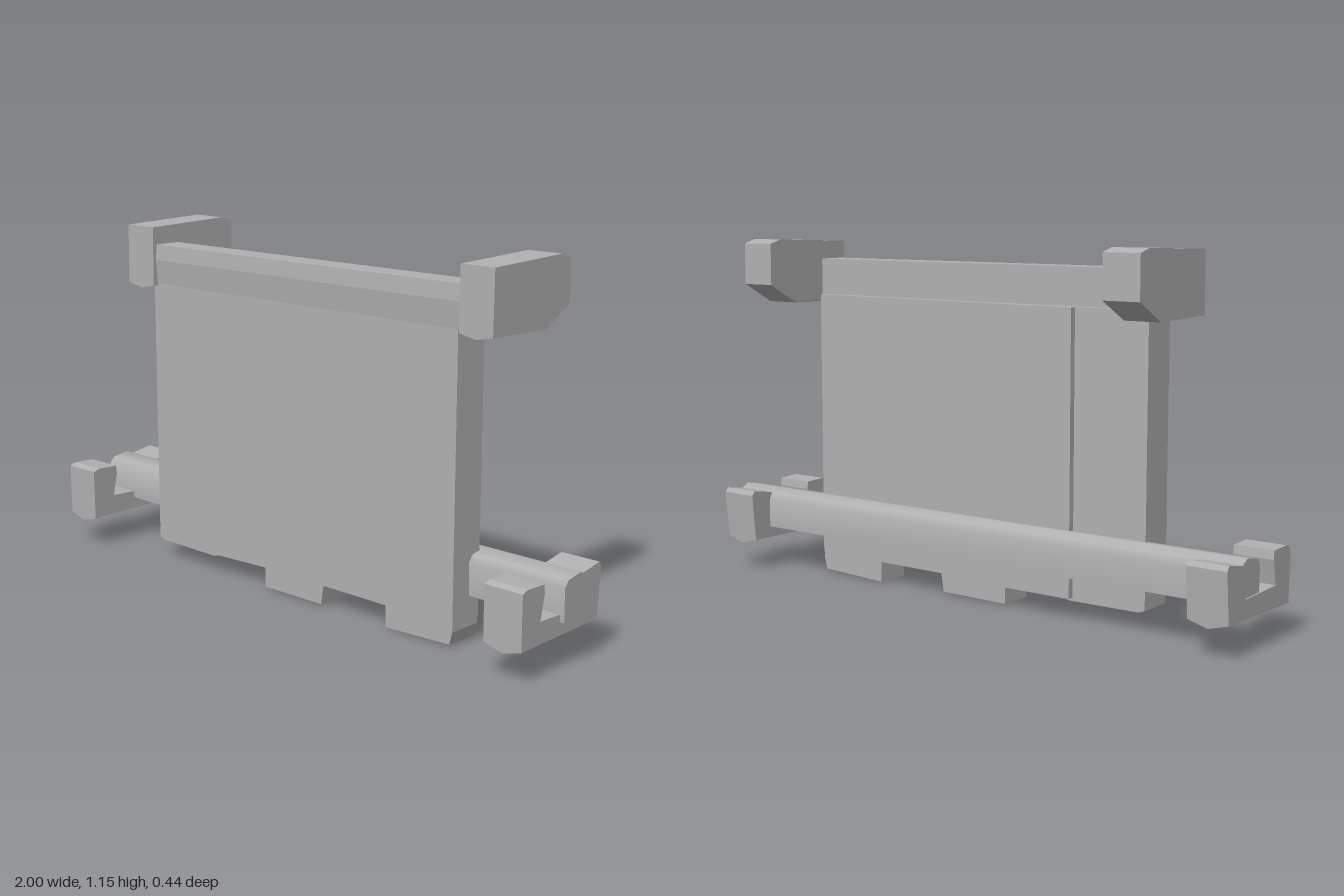
import * as THREE from 'three';
import { toCreasedNormals } from 'three/addons/utils/BufferGeometryUtils.js';

const toShape = pts => new THREE.Shape(pts.map(p => new THREE.Vector2(p[0], p[1])));

// Sweep a [z, y] profile along x from x0 to x1
function sweepX(profile, x0, x1, steps = 1) {
  const g = new THREE.ExtrudeGeometry(toShape(profile), { depth: x1 - x0, steps, bevelEnabled: false });
  return g.rotateY(-Math.PI / 2).translate(x1, 0, 0);
}

// Raise the underside along both side edges, leaving a shallow keel
function keel(g, x0, x1, below, lift) {
  const p = g.attributes.position;
  for (let i = 0; i < p.count; i++) {
    const atEdge = Math.min(Math.abs(p.getX(i) - x0), Math.abs(p.getX(i) - x1)) < 0.001;
    if (atEdge && p.getY(i) < below) p.setY(i, p.getY(i) + lift);
  }
  g.computeVertexNormals();
  return g;
}

export function createModel() {
  const root = new THREE.Group();
  const gray = new THREE.MeshStandardMaterial({ color: 0xb0b0b0 });
  gray.name = 'plain gray';
  const add = (name, geometry) => {
    const m = new THREE.Mesh(geometry, gray);
    m.name = name;
    root.add(m);
    return m;
  };
  const box = (name, x0, x1, y0, y1, z0, z1) => add(name,
    new THREE.BoxGeometry(x1 - x0, y1 - y0, z1 - z0)
      .translate((x0 + x1) / 2, (y0 + y1) / 2, (z0 + z1) / 2));

  // Main board with two feet cut into its lower edge
  const outline = [
    [-0.64, 0.96], [-0.64, 0.065], [-0.62, 0.057], [-0.37, 0.055], [-0.34, 0.062], [-0.12, 0.07],
    [-0.12, 0.005], [0.13, 0.007], [0.14, 0.07], [0.40, 0.07], [0.40, 0], [0.65, 0.01], [0.66, 0.05], [0.66, 0.96]
  ];
  add('board', new THREE.ExtrudeGeometry(toShape(outline), { depth: 0.117, bevelEnabled: false })
    .translate(0, 0, 0.003));

  // Back panels: a raised strip beside a wide, slightly tapering panel
  box('backStrip', -0.38, -0.115, 0.065, 0.96, -0.018, 0.01);
  add('backPanel', new THREE.ExtrudeGeometry(
    toShape([[-0.115, 0.01], [0.66, 0.01], [0.66, 0], [-0.115, -0.009]]),
    { depth: 0.89, bevelEnabled: false }).rotateX(Math.PI / 2).translate(0, 0.96, 0));

  // Top beam between the upper brackets
  add('topBeam', sweepX([[0.123, 0.95], [0.13, 1.03], [0.125, 1.08], [0.03, 1.08], [0.03, 0.95]], -0.63, 0.69));

  // Upper brackets, reaching backwards
  const bracket = [
    [0.142, 0.932], [0.14, 1.138], [-0.17, 1.148], [-0.215, 1.135], [-0.215, 1.0], [-0.10, 0.937]
  ];
  [['rightBracket', -0.745, -0.62], ['leftBracket', 0.68, 0.80]].forEach(([name, x0, x1]) =>
    add(name, keel(sweepX(bracket, x0, x1, 2), x0, x1, 0.935, 0.012)));

  // Lower rail with a rounded top
  const rail = [
    [0.045, 0.145], [0.047, 0.25], [0.03, 0.27], [-0.03, 0.28], [-0.058, 0.262], [-0.068, 0.24], [-0.068, 0.145]
  ];
  add('lowerRail', toCreasedNormals(sweepX(rail, -0.995, 1), 0.95));

  // U-shaped hooks cradling the rail ends
  const hook = [
    [0.222, 0.085], [0.223, 0.272], [0.20, 0.28], [0.125, 0.277], [0.121, 0.25], [0.138, 0.172],
    [-0.04, 0.165], [-0.055, 0.265], [-0.142, 0.28], [-0.152, 0.265], [-0.138, 0.09]
  ];
  [['rightHook', -1, -0.868], ['leftHook', 0.853, 0.985]].forEach(([name, x0, x1]) =>
    add(name, keel(sweepX(hook, x0, x1, 2), x0, x1, 0.1, 0.018)));

  return root;
}
